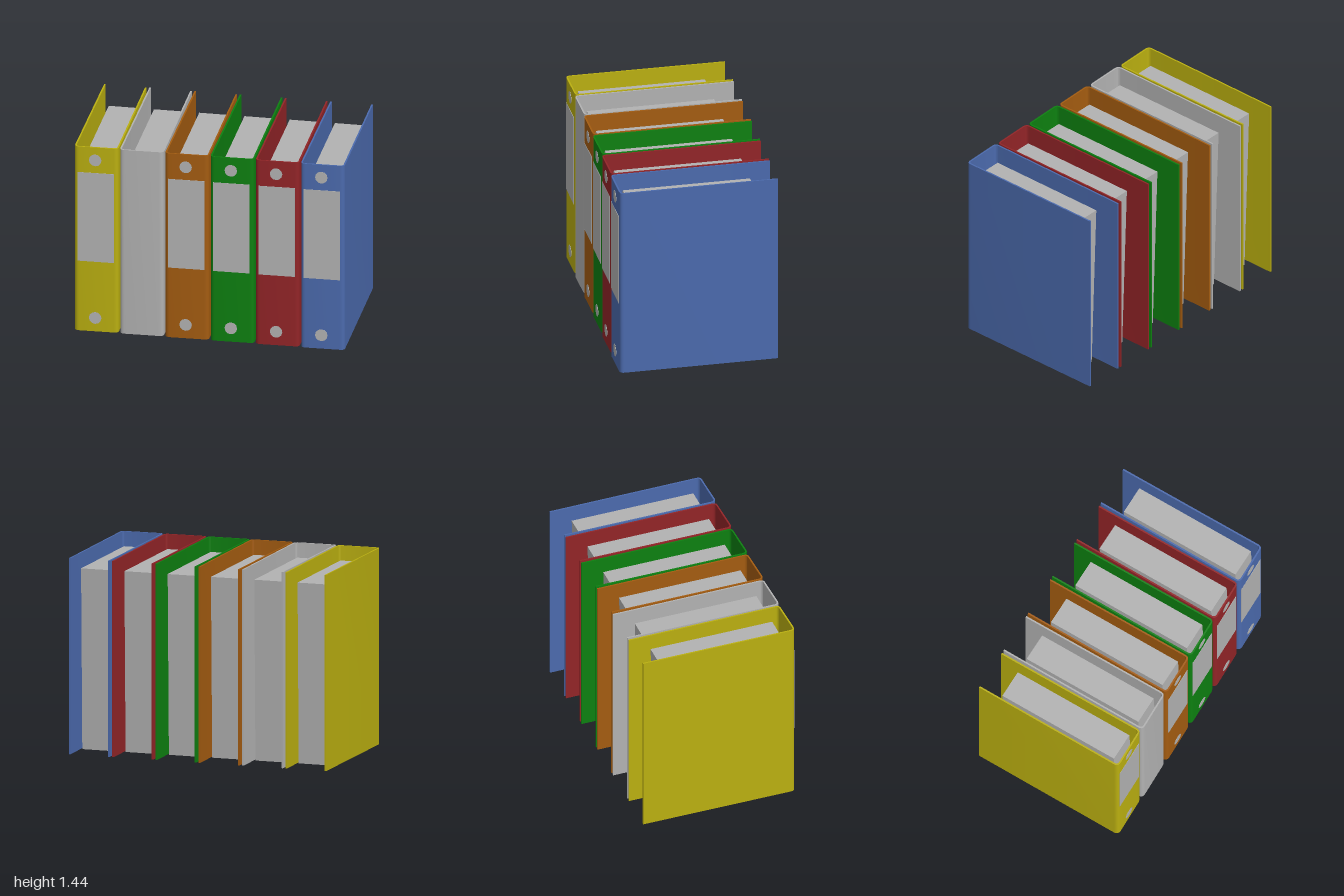
import * as THREE from 'three';
import { toCreasedNormals } from 'three/addons/utils/BufferGeometryUtils.js';

const HEIGHT = 1.44, PITCH = 0.333, TWIST = 0.0146;

const material = (name, color) => {
  const m = new THREE.MeshStandardMaterial({ color });
  m.name = name;
  return m;
};

// U-shaped cover: plan outline (shape y = -z) extruded upwards, open at the back
function coverGeometry() {
  const t = 0.012, r = 0.035, back = 0.587, left = -0.587, right = -0.581;
  const s = new THREE.Shape();
  s.moveTo(0, back);
  s.lineTo(0.012, left + r);
  s.quadraticCurveTo(0.013, left, 0.013 + r, left);
  s.lineTo(0.335 - r, right);
  s.quadraticCurveTo(0.335, right, 0.334, right + r);
  s.lineTo(0.314, back);
  s.lineTo(0.314 - t, back);
  s.lineTo(0.334 - t, right + r);
  s.quadraticCurveTo(0.335 - t, right + t, 0.335 - r, right + t);
  s.lineTo(0.013 + r, left + t);
  s.quadraticCurveTo(0.013 + t, left + t, 0.012 + t, left + r);
  s.lineTo(t, back);
  s.closePath();
  const g = new THREE.ExtrudeGeometry(s, { depth: HEIGHT, bevelEnabled: false, curveSegments: 5 });
  g.rotateX(-Math.PI / 2);
  return toCreasedNormals(g, 0.6);
}

// Paper block, leaning slightly backwards and skewed with the cover
function paperGeometry() {
  const w = 0.212, h = 1.335, d = 0.94;
  const g = new THREE.BoxGeometry(w, h, d);
  const p = g.attributes.position;
  for (let i = 0; i < p.count; i++) {
    const x = p.getX(i), y = p.getY(i), z = p.getZ(i);
    p.setXYZ(i, x + TWIST * z - 0.004 * y, y, z - 0.03 * y);
  }
  g.computeVertexNormals();
  return g;
}

export function createModel() {
  const grey = material('paper grey', 0xb2b2b2);
  const covers = [
    material('yellow', 0xbaaf10), grey, material('orange', 0xa45c10),
    material('green', 0x0d8010), material('red', 0x922427), material('blue', 0x4b6aad),
  ];
  const coverGeo = coverGeometry();
  const paperGeo = paperGeometry();
  const labelGeo = new THREE.BoxGeometry(0.267, 0.695, 0.004);
  const dotGeo = new THREE.CylinderGeometry(0.046, 0.046, 0.004, 12);
  dotGeo.rotateX(Math.PI / 2);

  const model = new THREE.Group();
  model.name = 'ringBinders';
  covers.forEach((mat, i) => {
    const binder = new THREE.Group();
    binder.name = `${mat.name} binder`;
    binder.position.x = -1 + i * PITCH;
    const add = (name, geo, m, x = 0, y = 0, z = 0, twist = 0) => {
      const mesh = new THREE.Mesh(geo, m);
      mesh.name = name;
      mesh.position.set(x, y, z);
      mesh.rotation.y = twist;
      binder.add(mesh);
    };
    add('cover', coverGeo, mat);
    add('paperBlock', paperGeo, grey, 0.181, 0.673, 0.06);
    // Spine label and finger-hole discs; the grey binder is plain
    if (mat !== grey) {
      add('spineLabel', labelGeo, grey, 0.169, 0.893, 0.5845, TWIST);
      add('upperDisc', dotGeo, grey, 0.165, 1.34, 0.5845, TWIST);
      add('lowerDisc', dotGeo, grey, 0.165, 0.105, 0.5845, TWIST);
    }
    model.add(binder);
  });
  return model;
}
